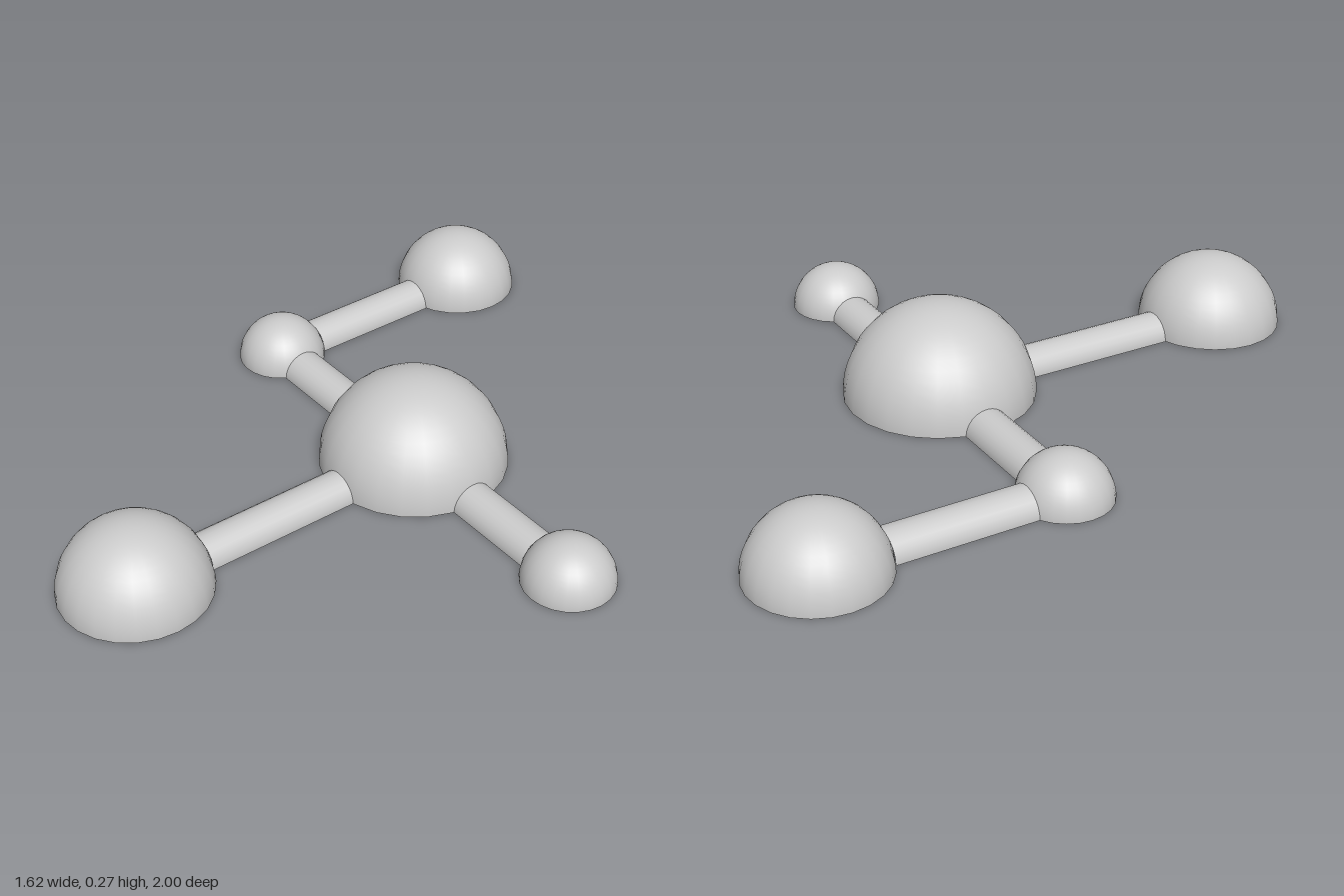
import * as THREE from 'three';

const material = new THREE.MeshStandardMaterial({ color: 0xcccccc, side: THREE.DoubleSide });
const ROD_RADIUS = 0.065;

// Dome centres on the ground plane and their radii
const domes = {
  centreDome: { x: 0.02, z: -0.13, r: 0.27 },
  frontDome: { x: 0.02, z: 0.79, r: 0.21 },
  leftDome: { x: 0.675, z: -0.13, r: 0.13 },
  rightDome: { x: -0.63, z: -0.13, r: 0.13 },
  rearDome: { x: -0.63, z: -0.815, r: 0.185 },
};

// Half-round rods joining pairs of domes
const rods = {
  frontRod: ['centreDome', 'frontDome'],
  leftRod: ['centreDome', 'leftDome'],
  rightRod: ['centreDome', 'rightDome'],
  rearRod: ['rightDome', 'rearDome'],
};

// Hollow hemisphere, open underneath
function makeDome({ x, z, r }) {
  const mesh = new THREE.Mesh(
    new THREE.SphereGeometry(r, 24, 14, 0, Math.PI * 2, 0, Math.PI / 2), material);
  mesh.position.set(x, 0, z);
  return mesh;
}

// Open half cylinder whose ends meet the dome walls at the rod's crown
function makeRod(a, b) {
  const inset = (d) => Math.sqrt(d.r ** 2 - ROD_RADIUS ** 2);
  const start = new THREE.Vector3(a.x, 0, a.z);
  const end = new THREE.Vector3(b.x, 0, b.z);
  const dir = end.clone().sub(start).normalize();
  start.addScaledVector(dir, inset(a));
  end.addScaledVector(dir, -inset(b));
  const geometry = new THREE.CylinderGeometry(
    ROD_RADIUS, ROD_RADIUS, start.distanceTo(end), 12, 1, true, -Math.PI / 2, Math.PI);
  geometry.rotateX(-Math.PI / 2); // arch upward, axis along z
  const mesh = new THREE.Mesh(geometry, material);
  mesh.position.copy(start).lerp(end, 0.5);
  mesh.rotation.y = Math.atan2(dir.x, dir.z);
  return mesh;
}

export function createModel() {
  const group = new THREE.Group();
  group.name = 'ballAndRodModel';
  const add = (name, mesh) => {
    mesh.name = name;
    group.add(mesh);
  };
  for (const [name, dome] of Object.entries(domes)) add(name, makeDome(dome));
  for (const [name, [a, b]] of Object.entries(rods)) add(name, makeRod(domes[a], domes[b]));
  return group;
}
